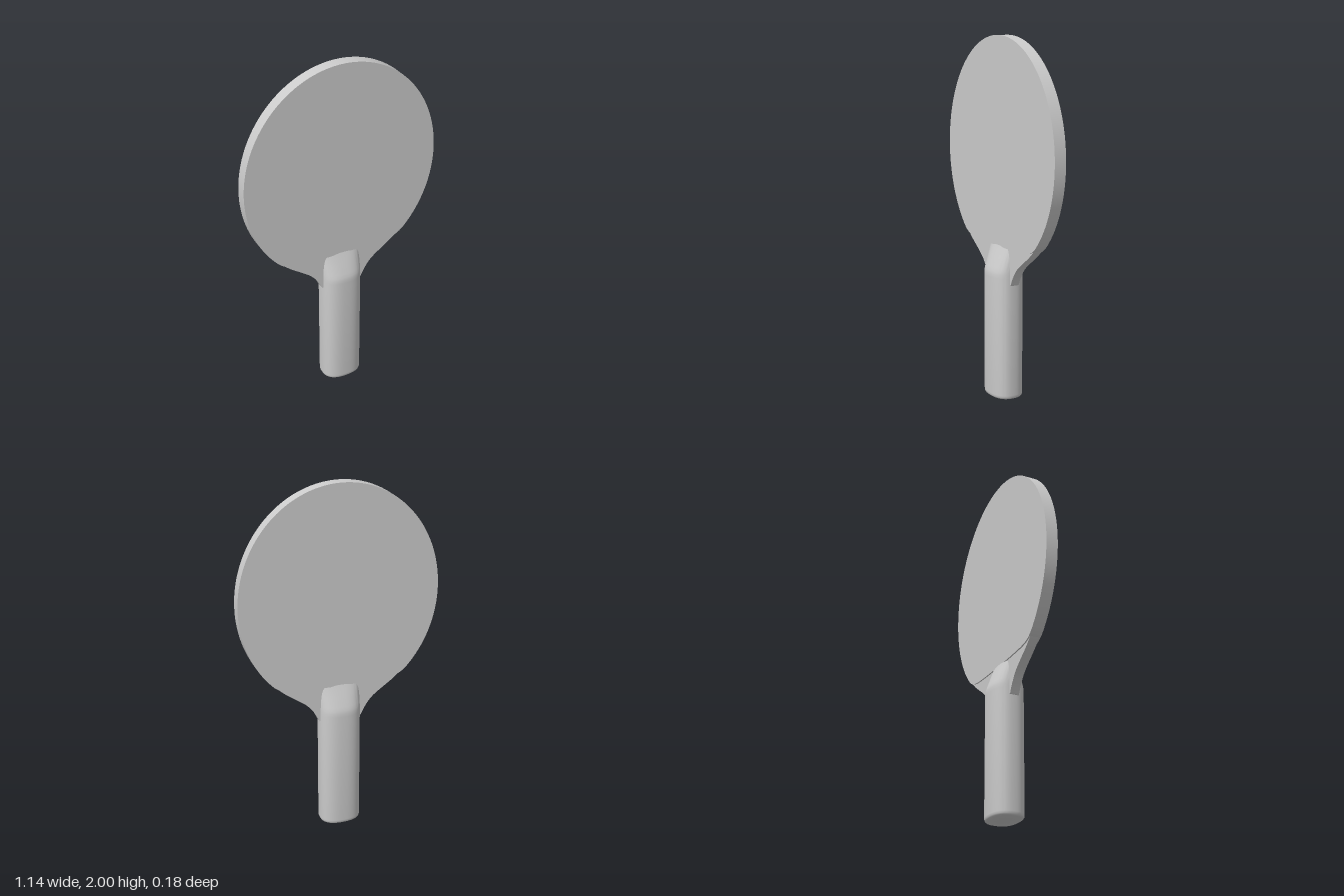
import * as THREE from 'three';
import { toCreasedNormals } from 'three/addons/utils/BufferGeometryUtils.js';

const material = new THREE.MeshStandardMaterial({ color: 0xcccccc });

// Flat plate of a given thickness, centred on z = 0
function plate(shape, thickness, name) {
  const geo = new THREE.ExtrudeGeometry(shape, { depth: thickness, bevelEnabled: false, curveSegments: 72 });
  geo.translate(0, 0, -thickness / 2);
  const mesh = new THREE.Mesh(toCreasedNormals(geo, 0.5), material);
  mesh.name = name;
  return mesh;
}

// Loft of superellipse rings; each row is [y, halfWidth, halfDepth]
function loft(rows, sides, power) {
  const pos = [], index = [];
  const bend = (v) => Math.sign(v) * Math.pow(Math.abs(v), 2 / power);
  rows.forEach(([y, w, d], r) => {
    for (let i = 0; i < sides; i++) {
      const t = (i / sides) * Math.PI * 2;
      pos.push(w * bend(Math.cos(t)), y, d * bend(Math.sin(t)));
      if (r < rows.length - 1) {
        const a = r * sides + i, b = r * sides + (i + 1) % sides;
        index.push(a, a + sides, b, b, a + sides, b + sides);
      }
    }
  });
  const geo = new THREE.BufferGeometry();
  geo.setAttribute('position', new THREE.Float32BufferAttribute(pos, 3));
  geo.setIndex(index);
  return toCreasedNormals(geo, 0.6);
}

export function createModel() {
  const model = new THREE.Group();
  model.name = 'paddle';

  // Hitting face: an ellipse cut off by a nearly straight lower edge
  const rx = 0.568, ry = 0.63, cy = 1.37;
  const a0 = Math.asin(-0.45 / ry), x0 = rx * Math.cos(a0);
  const face = new THREE.Shape();
  face.moveTo(x0, 0.92);
  face.absellipse(0, cy, rx, ry, a0, Math.PI - a0, false);
  face.bezierCurveTo(-0.35, 0.87, -0.32, 0.862, -0.2, 0.858);
  face.quadraticCurveTo(-0.1, 0.855, 0, 0.855);
  face.quadraticCurveTo(0.1, 0.855, 0.2, 0.858);
  face.bezierCurveTo(0.32, 0.862, 0.35, 0.87, x0, 0.92);
  model.add(plate(face, 0.067, 'hittingFace'));

  // Neck: thinner core flaring from the handle into the face
  const flare = [[0.395, 0.922], [0.32, 0.852], [0.2, 0.765], [0.15, 0.705], [0.122, 0.652]];
  const neck = new THREE.Shape();
  neck.moveTo(-0.36, 0.95);
  neck.lineTo(-0.395, 0.922);
  neck.splineThru(flare.slice(1).map(([x, y]) => new THREE.Vector2(-x, y)));
  neck.lineTo(0.122, 0.652);
  neck.splineThru(flare.slice(0, -1).reverse().map(([x, y]) => new THREE.Vector2(x, y)));
  neck.lineTo(0.36, 0.95);
  model.add(plate(neck, 0.052, 'neck'));

  // Handle: oval grip, rounded at the foot, tapering in depth to the face
  const handle = new THREE.Mesh(loft([
    [0, 0, 0], [0, 0.108, 0.081], [0.004, 0.114, 0.087], [0.011, 0.117, 0.091], [0.022, 0.118, 0.092],
    [0.69, 0.118, 0.092], [0.71, 0.118, 0.091], [0.725, 0.118, 0.088], [0.745, 0.118, 0.081],
    [0.8, 0.117, 0.059], [0.84, 0.116, 0.042], [0.865, 0.114, 0.032], [0.865, 0, 0],
  ], 64, 2.5), material);
  handle.name = 'handle';
  model.add(handle);

  return model;
}
